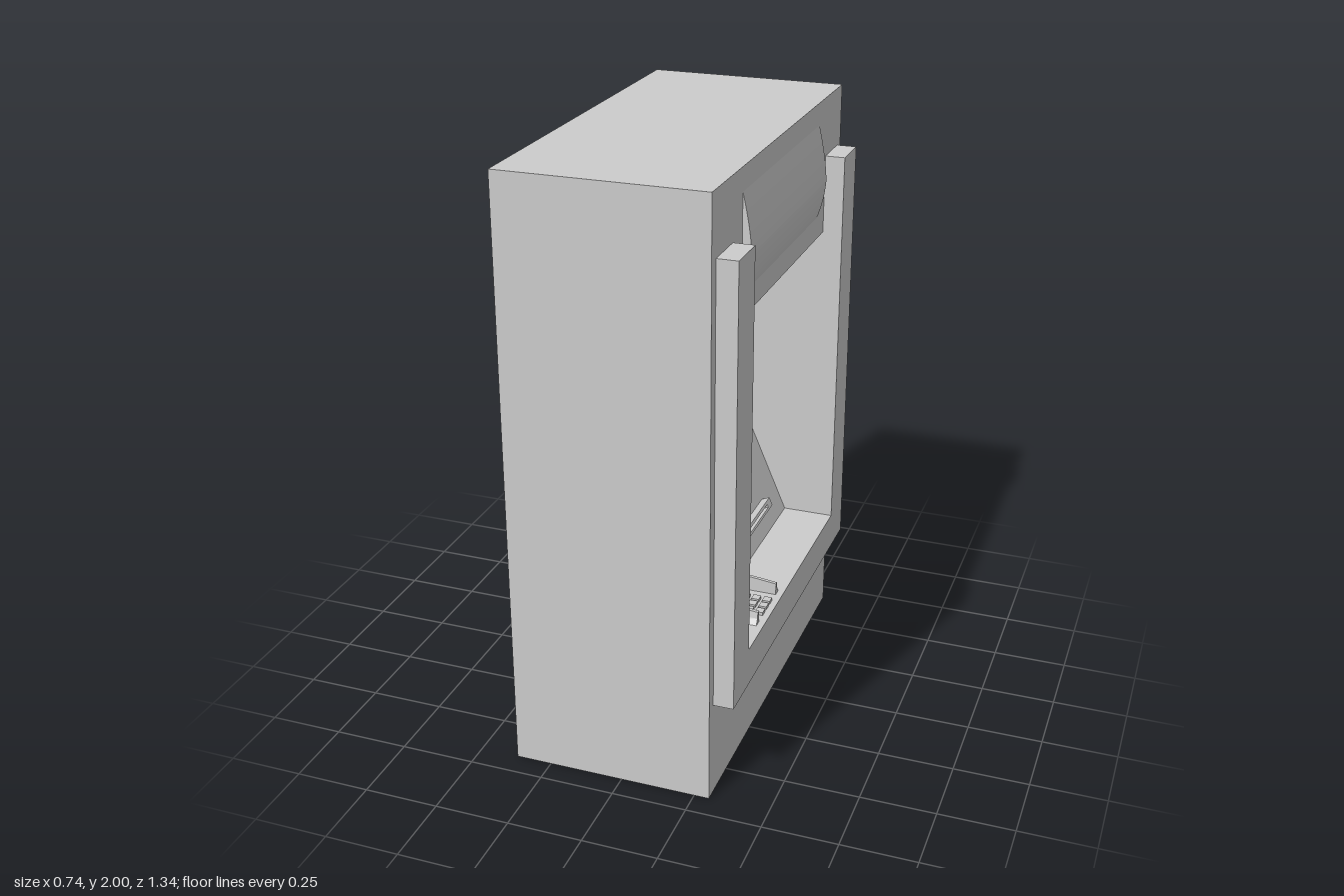
import * as THREE from 'three';

const grey = new THREE.MeshStandardMaterial({ color: 0xcccccc, side: THREE.DoubleSide });
grey.name = 'grey';

const X0 = -0.37, X1 = 0.3, Z = 0.67, H = 2;      // cabinet shell
const R = 0.485, SHELF = 0.46, CEIL = 1.535;      // recess opening
const BACK = -0.27, FOOT = 0.19;                  // sloping panel, top and bottom x
const tilt = Math.atan2(FOOT - BACK, CEIL - SHELF);
const along = y => (y - SHELF) / Math.cos(tilt);  // height -> distance up the panel

function add(parent, name, geometry, x = 0, y = 0, z = 0) {
  const mesh = new THREE.Mesh(geometry, grey);
  mesh.name = name;
  mesh.position.set(x, y, z);
  parent.add(mesh);
  return mesh;
}

// Flat sheet through coplanar corner points
function sheet(...corners) {
  const g = new THREE.BufferGeometry();
  g.setAttribute('position', new THREE.Float32BufferAttribute(corners.flat(), 3));
  const index = [];
  for (let i = 1; i < corners.length - 1; i++) index.push(0, i, i + 1);
  g.setIndex(index);
  g.computeVertexNormals();
  return g;
}

function polygon(points) {
  return new THREE.Shape(points.map(p => new THREE.Vector2(...p)));
}

function rect(x0, y0, x1, y1) {
  return polygon([[x0, y0], [x1, y0], [x1, y1], [x0, y1]]);
}

function roundedRect(x0, y0, x1, y1, r) {
  const s = new THREE.Shape();
  s.absarc(x1 - r, y0 + r, r, -Math.PI / 2, 0);
  s.absarc(x1 - r, y1 - r, r, 0, Math.PI / 2);
  s.absarc(x0 + r, y1 - r, r, Math.PI / 2, Math.PI);
  s.absarc(x0 + r, y0 + r, r, Math.PI, Math.PI * 1.5);
  return s;
}

const extrude = (shape, depth) => new THREE.ExtrudeGeometry(shape, { depth, bevelEnabled: false });

// Smooth wall through rings that have the same number of points
function loft(rings) {
  const n = rings[0].length, index = [];
  const g = new THREE.BufferGeometry();
  g.setAttribute('position', new THREE.Float32BufferAttribute(rings.flat(2), 3));
  for (let j = 0; j < rings.length - 1; j++) {
    for (let i = 0; i < n; i++) {
      const a = j * n + i, b = j * n + (i + 1) % n;
      index.push(a, a + n, b, b, a + n, b + n);
    }
  }
  g.setIndex(index);
  g.computeVertexNormals();
  return g;
}

function buildCabinet(group) {
  add(group, 'cabinetTop', sheet([X0, H, -Z], [X0, H, Z], [X1, H, Z], [X1, H, -Z]));
  add(group, 'cabinetBottom', sheet([X0, 0, -Z], [X1, 0, -Z], [X1, 0, Z], [X0, 0, Z]));
  add(group, 'leftSide', sheet([X0, 0, Z], [X1, 0, Z], [X1, H, Z], [X0, H, Z]));
  add(group, 'rightSide', sheet([X0, 0, -Z], [X0, H, -Z], [X1, H, -Z], [X1, 0, -Z]));
  // The rear is open between a lower and an upper band
  for (const [name, a, b] of [['lowerRearBand', 0, 0.33], ['upperRearBand', 1.79, H]]) {
    add(group, name, sheet([X0, a, -Z], [X0, a, Z], [X0, b, Z], [X0, b, -Z]));
  }
  const face = rect(-Z, 0, Z, H);
  face.holes.push(rect(-R, SHELF, R, CEIL));
  add(group, 'facePlate', new THREE.ShapeGeometry(face), X1).rotation.y = Math.PI / 2;

  // U-shaped surround
  const surround = polygon([[-0.633, 0.33], [0.633, 0.33], [0.633, 1.8], [R, 1.8],
    [R, SHELF], [-R, SHELF], [-R, 1.8], [-0.633, 1.8]]);
  add(group, 'surround', extrude(surround, 0.067), X1).rotation.y = Math.PI / 2;

  // Bulging header above the opening
  const profile = new THREE.Shape();
  profile.moveTo(X1, 1.61);
  profile.quadraticCurveTo(0.324, 1.67, 0.329, 1.74);
  profile.quadraticCurveTo(0.327, 1.81, X1, 1.925);
  add(group, 'header', extrude(profile, 0.8), 0, 0, -0.4);
}

function buildRecess(group) {
  add(group, 'recessCeiling', sheet([BACK, CEIL, -R], [X1, CEIL, -R], [X1, CEIL, R], [BACK, CEIL, R]));
  add(group, 'recessShelf', sheet([FOOT, SHELF, -R], [FOOT, SHELF, R], [X1, SHELF, R], [X1, SHELF, -R]));
  for (const s of [-1, 1]) {
    const pts = [[FOOT, SHELF, s * R], [BACK, CEIL, s * R], [X1, CEIL, s * R], [X1, SHELF, s * R]];
    add(group, s > 0 ? 'leftRecessWall' : 'rightRecessWall', sheet(...(s > 0 ? pts : pts.reverse())));
  }
}

// Sloping panel: local x runs to -z, local y up the slope, local z outward
function buildPanel(group) {
  const panel = new THREE.Group();
  panel.name = 'controlPanel';
  panel.position.set(FOOT, SHELF, 0);
  panel.rotation.set(-tilt, Math.PI / 2, 0, 'YXZ');
  group.add(panel);

  const screen = inset => roundedRect(-0.43 + inset, along(0.73) + inset,
    -0.01 - inset, along(1.17) - inset, 0.035 - inset);
  const board = rect(-R, 0, R, along(CEIL));
  board.holes.push(screen(0));
  add(panel, 'panelBoard', new THREE.ShapeGeometry(board));

  // Screen well with a rounded lip
  const ring = (inset, z) => screen(inset).getPoints(6).map(p => [p.x, p.y, z]);
  add(panel, 'screenWell', loft([ring(0, 0), ring(0.006, -0.003), ring(0.01, -0.01), ring(0.011, -0.04)]));
  add(panel, 'screen', new THREE.ShapeGeometry(screen(0.011)), 0, 0, -0.04);

  for (let i = 0; i < 6; i++) {
    add(panel, 'sideButton', new THREE.BoxGeometry(0.05, 0.026, 0.03), 0.045, along(0.785 + i * 0.0615), 0.012);
  }

  // Card slot frame
  const slot = rect(-0.05, along(0.532), 0.338, along(0.56));
  slot.holes.push(rect(-0.005, along(0.54), 0.3, along(0.55)));
  add(panel, 'cardSlot', extrude(slot, 0.03));
}

function buildKeypad(group) {
  const keypad = new THREE.Group();
  keypad.name = 'keypad';
  keypad.position.set(0, SHELF, 0.22);
  group.add(keypad);
  // Guards flare outward towards their base
  for (const s of [-1, 1]) {
    const fin = polygon([[s * 0.092, 0], [s * 0.12, 0], [s * 0.108, 0.03], [s * 0.104, 0.063], [s * 0.092, 0.063]]);
    const g = extrude(fin, 0.2);
    // Slope the outer end of each guard
    const p = g.attributes.position;
    for (let i = 0; i < p.count; i++) {
      if (p.getZ(i) > 0.1) p.setY(i, p.getY(i) * 0.65);
    }
    g.computeVertexNormals();
    add(keypad, 'keypadGuard', g, 0.145).rotation.y = Math.PI / 2;
  }
  for (let row = 0; row < 4; row++) {
    for (let col = -1; col <= 1; col++) {
      add(keypad, 'key', new THREE.BoxGeometry(0.026, 0.012, 0.028), 0.332 - row * 0.038, 0.005, col * 0.038);
    }
  }
}

export function createModel() {
  const group = new THREE.Group();
  group.name = 'cashMachine';
  buildCabinet(group);
  buildRecess(group);
  buildPanel(group);
  buildKeypad(group);
  return group;
}
